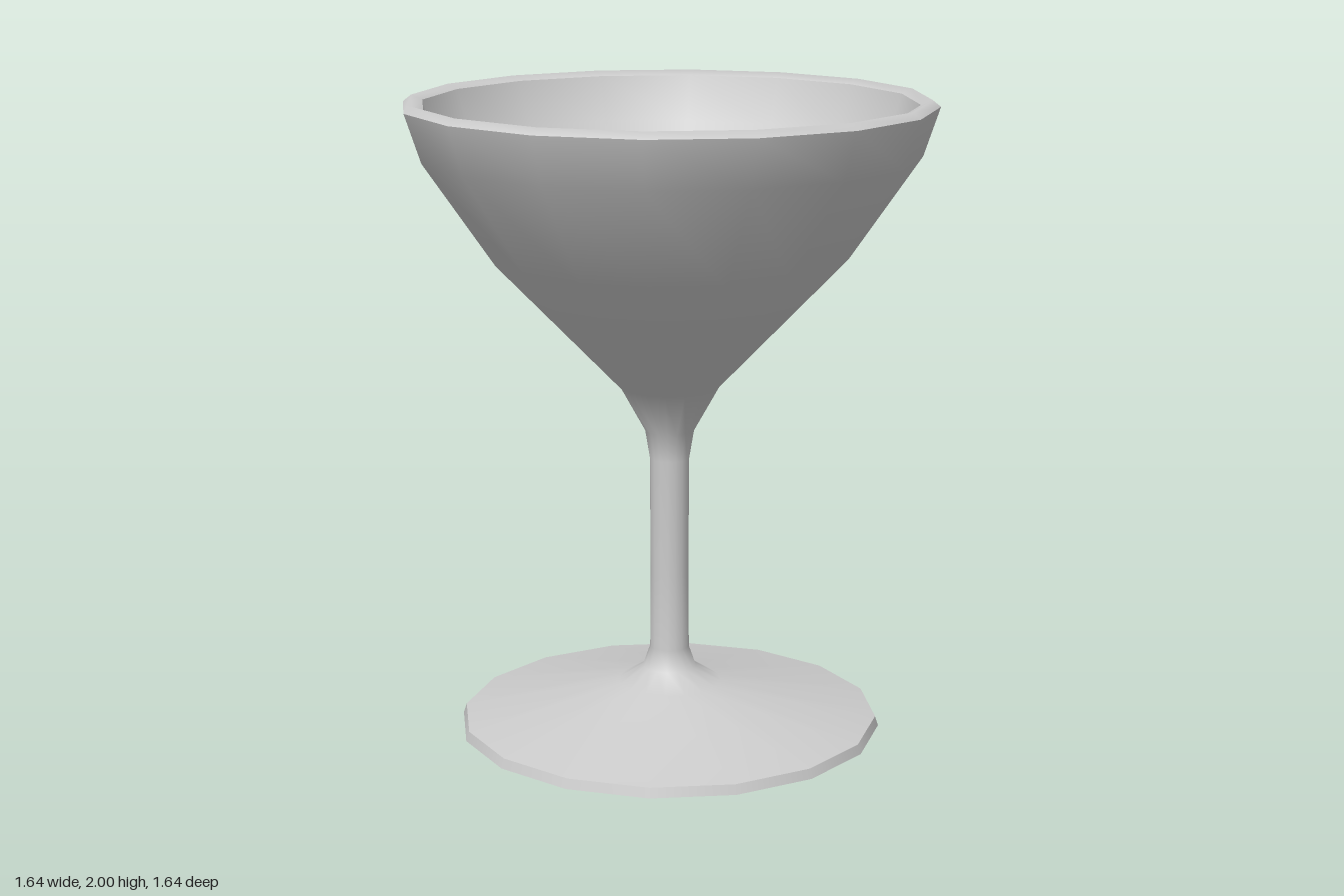
import * as THREE from 'three';

const SIDES = 16;

export function createModel() {
  const model = new THREE.Group();
  model.name = 'cocktailGlass';
  const material = new THREE.MeshStandardMaterial({ color: 0xcccccc });

  // Each section is a separate lathe, so the seams between sections stay sharp
  const addLathe = (name, profile) => {
    const points = profile.map(([r, y]) => new THREE.Vector2(r, y));
    const mesh = new THREE.Mesh(new THREE.LatheGeometry(points, SIDES), material);
    mesh.name = name;
    model.add(mesh);
  };

  // Foot: flat underside and thin edge
  addLathe('footUnderside', [[0, 0], [0.67, 0]]);
  addLathe('footEdge', [[0.67, 0], [0.66, 0.03]]);

  // Sloping foot, stem and outside of the bowl in one smooth sweep
  addLathe('footStemAndBowl', [
    [0.66, 0.03], [0.165, 0.135], [0.085, 0.185], [0.062, 0.25],
    [0.06, 0.5], [0.062, 0.87], [0.077, 0.96], [0.155, 1.1],
    [0.55, 1.51], [0.77, 1.83], [0.82, 1.98],
  ]);

  // Rounded lip
  addLathe('rim', [[0.82, 1.98], [0.795, 2], [0.76, 1.985]]);

  // Inside of the bowl
  addLathe('bowlInside', [
    [0.76, 1.985], [0.71, 1.84], [0.5, 1.54], [0.13, 1.17], [0, 1.12],
  ]);

  return model;
}
